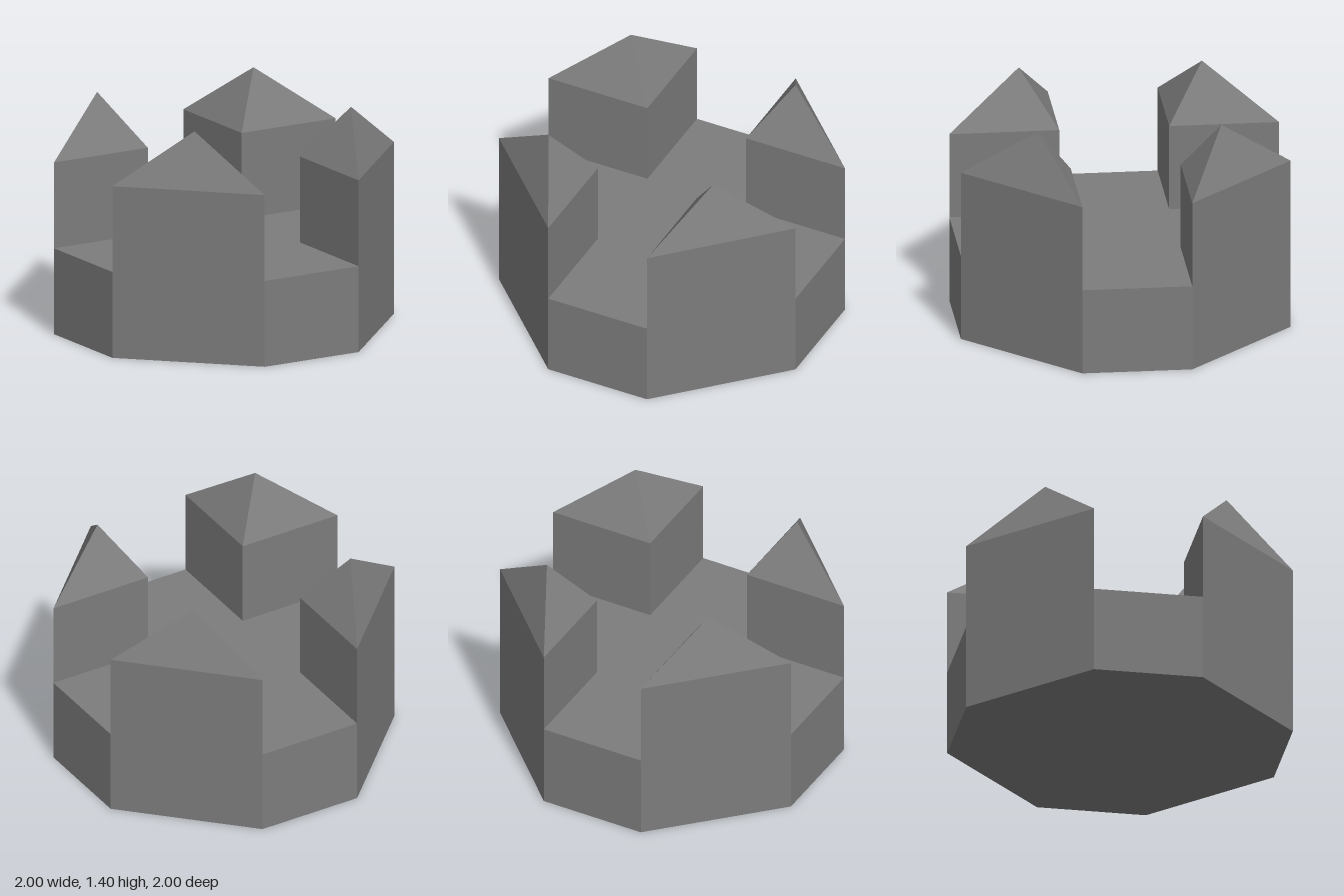
import * as THREE from 'three';
import { ConvexGeometry } from 'three/addons/geometries/ConvexGeometry.js';

const T = 1 / 3;       // half-width of the straight sides
const DECK = 0.535;    // height of the base
const EAVES = 1.07;    // height of the tower walls
const PEAK = 1.4;      // height of the roof tips
const CENTRE = 5 / 9;  // centroid of the tower triangle

// Upright prism from an outline of [x, -z] points
function prism(points, y0, y1) {
  const shape = new THREE.Shape(points.map(([x, y]) => new THREE.Vector2(x, y)));
  const geometry = new THREE.ExtrudeGeometry(shape, { depth: y1 - y0, bevelEnabled: false });
  return geometry.rotateX(-Math.PI / 2).translate(0, y0, 0);
}

export function createModel() {
  const model = new THREE.Group();
  model.name = 'turretedPlatform';
  const material = new THREE.MeshStandardMaterial({ color: 0x7c7c7c, flatShading: true });

  const add = (parent, name, geometry) => {
    const mesh = new THREE.Mesh(geometry, material);
    mesh.name = name;
    parent.add(mesh);
  };

  // Eight-sided base
  const octagon = [[1, -T], [1, T], [T, 1], [-T, 1], [-1, T], [-1, -T], [-T, -1], [T, -1]];
  add(model, 'base', prism(octagon, 0, DECK));

  // Triangular corner towers with three-sided pointed roofs
  const corner = [[T, T], [1, T], [T, 1]];
  const walls = prism(corner, DECK, EAVES);
  const roof = new ConvexGeometry([
    ...corner.map(([x, y]) => new THREE.Vector3(x, EAVES, -y)),
    new THREE.Vector3(CENTRE, PEAK, -CENTRE),
  ]);
  ['backLeft', 'backRight', 'frontRight', 'frontLeft'].forEach((place, i) => {
    const tower = new THREE.Group();
    tower.name = place + 'Tower';
    add(tower, 'towerWalls', walls);
    add(tower, 'towerRoof', roof);
    tower.rotation.y = i * Math.PI / 2;
    model.add(tower);
  });

  return model;
}
